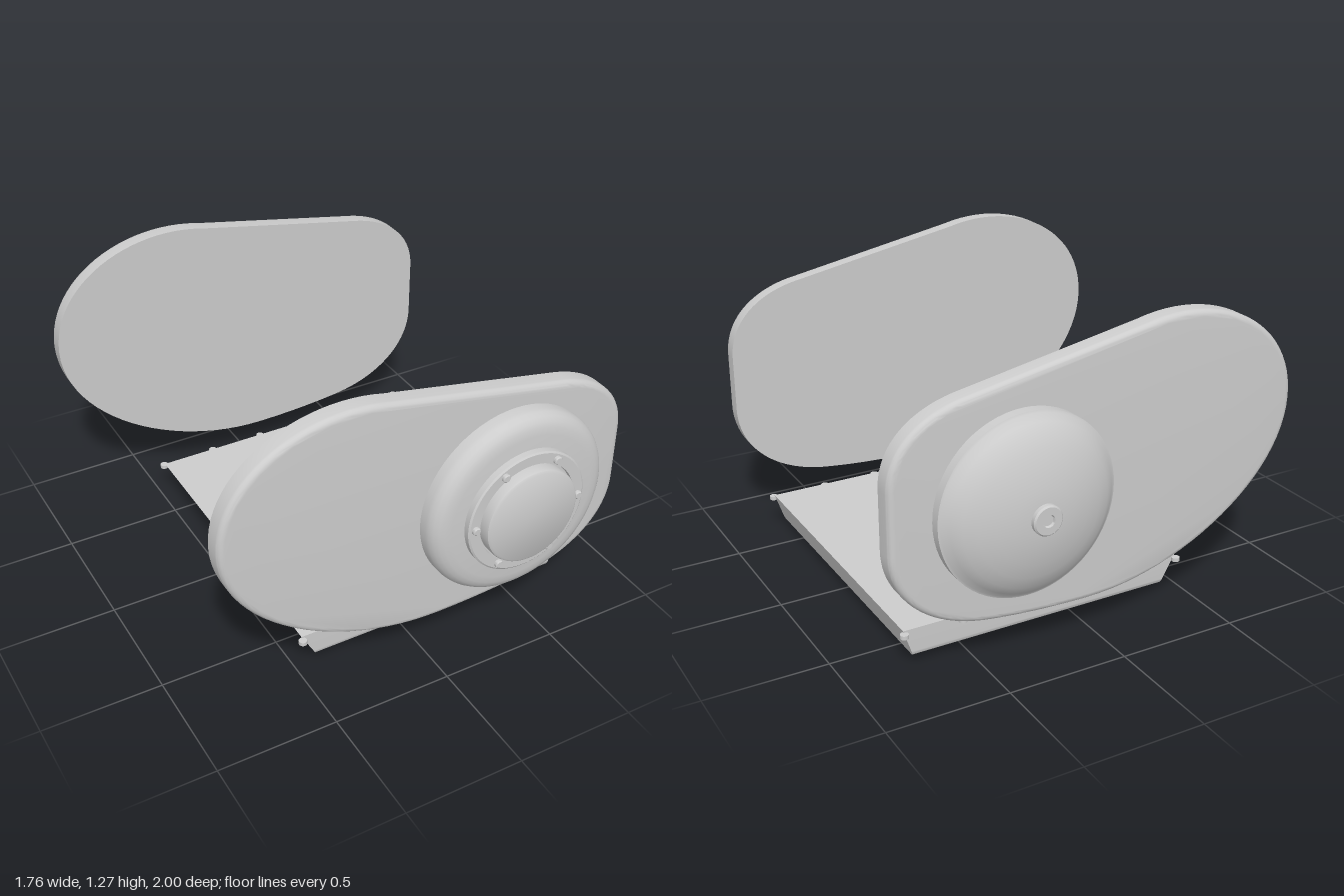
import * as THREE from 'three';
import { toCreasedNormals } from 'three/addons/utils/BufferGeometryUtils.js';

const grey = new THREE.MeshStandardMaterial({ color: 0xcccccc });
grey.name = 'plainGrey';

function add(parent, name, geometry, x = 0, y = 0, z = 0) {
  const mesh = new THREE.Mesh(geometry, grey);
  mesh.name = name;
  mesh.position.set(x, y, z);
  parent.add(mesh);
  return mesh;
}

// Turned part whose axis points along +z (dir 1) or -z (dir -1)
function turned(profile, dir, segments = 64) {
  const points = profile.map(([r, h]) => new THREE.Vector2(r, h));
  const geometry = new THREE.LatheGeometry(points, segments);
  geometry.rotateX(dir * Math.PI / 2);
  return toCreasedNormals(geometry, 0.6);
}

// Rounded teardrop side plate, softened only on its outer rim
function sidePlate(dir) {
  const shape = new THREE.Shape();
  shape.moveTo(-0.18, 1.245);
  shape.bezierCurveTo(-0.52, 1.33, -0.88, 1.15, -0.88, 0.83);
  shape.bezierCurveTo(-0.88, 0.48, -0.40, 0.17, 0.05, 0.17);
  shape.bezierCurveTo(0.20, 0.17, 0.36, 0.18, 0.50, 0.20);
  shape.bezierCurveTo(0.72, 0.235, 0.88, 0.37, 0.88, 0.56);
  shape.lineTo(0.88, 0.80);
  shape.bezierCurveTo(0.88, 0.95, 0.77, 1.06, 0.59, 1.10);
  shape.closePath();
  const depth = 0.055, bevel = 0.025;
  const geometry = new THREE.ExtrudeGeometry(shape, {
    depth, curveSegments: 24, bevelThickness: bevel, bevelSize: bevel,
    bevelOffset: -bevel, bevelSegments: 5,
  });
  // Flatten the inner rim so the inside stays flush
  const p = geometry.attributes.position;
  for (let i = 0; i < p.count; i++) {
    const z = p.getZ(i);
    p.setZ(i, dir > 0 ? Math.max(z, 0) : Math.min(z, depth) - depth);
  }
  return toCreasedNormals(geometry, 0.6);
}

// Pan: rounded lower edges front and back, ends sloping inwards
function panGeometry() {
  const back = 0.655, front = -0.67, top = 0.153, low = 0.033, r = 0.022;
  const shape = new THREE.Shape();
  shape.moveTo(front, top);
  shape.lineTo(front, low + r);
  shape.quadraticCurveTo(front, low, front + r, low);
  shape.lineTo(back - r, low);
  shape.quadraticCurveTo(back, low, back, low + r);
  shape.lineTo(back, top);
  shape.closePath();
  const geometry = new THREE.ExtrudeGeometry(shape, { depth: 1, bevelEnabled: false, curveSegments: 6 });
  geometry.rotateY(Math.PI / 2);
  const p = geometry.attributes.position;
  for (let i = 0; i < p.count; i++) {
    const t = (p.getY(i) - low) / (top - low);
    const left = THREE.MathUtils.lerp(-0.405, -0.472, t);
    const right = THREE.MathUtils.lerp(0.722, 0.762, t);
    p.setX(i, THREE.MathUtils.lerp(left, right, p.getX(i)));
  }
  return toCreasedNormals(geometry, 0.6);
}

export function createModel() {
  const model = new THREE.Group();
  model.name = 'casingCovers';

  // Front cover: plate, round housing, cap and ring of bolts
  const frontCover = new THREE.Group();
  frontCover.name = 'frontCover';
  model.add(frontCover);
  add(frontCover, 'frontPlate', sidePlate(1), 0, 0, 0.753);
  add(frontCover, 'frontHousing', turned([
    [0.40, 0.82], [0.40, 0.868], [0.396, 0.886], [0.386, 0.903], [0.37, 0.917],
    [0.35, 0.925], [0.32, 0.93], [0, 0.93],
  ], 1), 0.35, 0.66);
  add(frontCover, 'boltRing', turned([
    [0.265, 0.92], [0.265, 0.955], [0.258, 0.96], [0.215, 0.96], [0.213, 0.945], [0, 0.945],
  ], 1), 0.35, 0.66);
  add(frontCover, 'centreCap', turned([
    [0.206, 0.94], [0.206, 0.985], [0.203, 0.994], [0.194, 1.0], [0, 1.0],
  ], 1), 0.35, 0.66);
  const boltProfile = [[0.017, 0.95], [0.017, 0.971], [0.013, 0.975], [0, 0.975]];
  for (let i = 0; i < 6; i++) {
    const a = i * Math.PI / 3;
    add(frontCover, 'ringBolt', turned(boltProfile, 1, 20),
      0.35 + 0.235 * Math.cos(a), 0.66 + 0.235 * Math.sin(a));
  }

  // Back cover: plate, dome and knob
  const backCover = new THREE.Group();
  backCover.name = 'backCover';
  model.add(backCover);
  add(backCover, 'backPlate', sidePlate(-1), 0, 0, -0.735);
  add(backCover, 'backDome', turned([
    [0.367, 0.80], [0.367, 0.856], [0.358, 0.86], [0.335, 0.888], [0.30, 0.915],
    [0.25, 0.938], [0.19, 0.957], [0.12, 0.972], [0.06, 0.978], [0, 0.978],
  ], -1), 0.345, 0.66);
  add(backCover, 'domeKnob', turned([
    [0.06, 0.965], [0.06, 0.994], [0.054, 1.0], [0.025, 1.0], [0.022, 0.99], [0, 0.99],
  ], -1, 32), 0.345, 0.66);

  // Pan with bolts along both long edges and a drain plug below
  const pan = new THREE.Group();
  pan.name = 'pan';
  model.add(pan);
  add(pan, 'panBody', panGeometry());
  const panBolt = new THREE.CylinderGeometry(0.017, 0.017, 0.016, 20);
  for (const z of [0.682, -0.665]) {
    for (let i = 0; i < 6; i++) add(pan, 'panBolt', panBolt, -0.472 + i * 0.2468, 0.138, z);
  }
  const plug = new THREE.CylinderGeometry(0.037, 0.037, 0.04, 6);
  plug.rotateY(Math.PI / 6);
  add(pan, 'drainPlug', plug, 0.145, 0.02, 0.01);

  return model;
}
